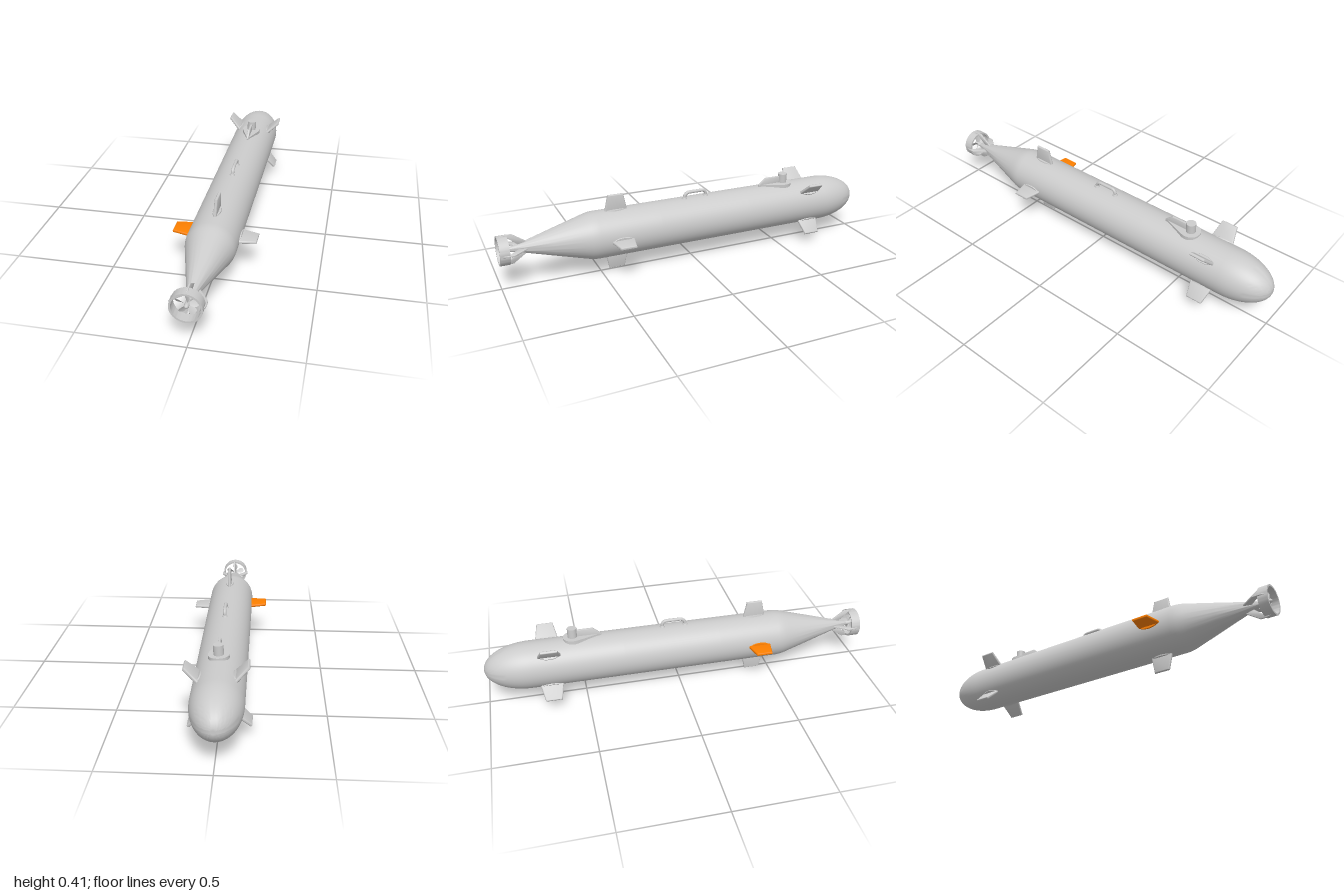
import * as THREE from 'three';
import { toCreasedNormals } from 'three/addons/utils/BufferGeometryUtils.js';

const AXIS_Y = 0.206, R = 0.121;
const grey = new THREE.MeshStandardMaterial({ color: 0xcccccc });
const orange = new THREE.MeshStandardMaterial({ color: 0xff8000 });
const thin = new THREE.MeshStandardMaterial({ color: 0xcccccc, side: THREE.DoubleSide });

function add(parent, name, geo, mat = grey) {
  const mesh = new THREE.Mesh(geo, mat);
  mesh.name = name;
  parent.add(mesh);
  return mesh;
}

// Plate drawn in the (z, radius) plane, with rounded edges, centred on x = 0
function plate(points, thickness, bevel) {
  const inner = thickness - 2 * bevel;
  const geo = new THREE.ExtrudeGeometry(new THREE.Shape(points.map(p => new THREE.Vector2(...p))), {
    depth: inner, bevelThickness: bevel, bevelSize: bevel, bevelOffset: -bevel, bevelSegments: 4,
  });
  geo.translate(0, 0, -inner / 2);
  geo.rotateY(-Math.PI / 2);
  return toCreasedNormals(geo, 0.6);
}

// Solid of revolution around the z axis from [radius, z] pairs
function turned(points, segments = 48) {
  const geo = new THREE.LatheGeometry(points.map(p => new THREE.Vector2(...p)), segments);
  geo.rotateX(Math.PI / 2);
  return geo;
}

// Tapered control fin with its foot, standing on the hull at an angle around z
function fin(parent, name, z, angle, mat) {
  const g = new THREE.Group();
  g.name = name;
  add(g, 'finBlade', plate([[-0.06, 0.11], [0.06, 0.11], [0.041, 0.203], [-0.041, 0.203]], 0.016, 0.0075), mat);
  const foot = add(g, 'finFoot', new THREE.CylinderGeometry(0.85, 1, 0.016, 32), mat);
  foot.scale.set(0.022, 1, 0.058);
  foot.position.y = 0.117;
  g.position.z = z;
  g.rotation.z = angle;
  parent.add(g);
}

export function createModel() {
  const model = new THREE.Group();
  model.name = 'underwaterVehicle';
  const craft = new THREE.Group();
  craft.name = 'craft';
  craft.position.y = AXIS_Y;
  craft.rotation.z = -0.05; // slight roll
  model.add(craft);

  // Hull: elliptical nose, straight middle, tapering tail
  const profile = [];
  for (let i = 0; i <= 20; i++) {
    const a = (i / 20) * Math.PI / 2;
    profile.push([R * Math.sin(a), -0.77 - 0.23 * Math.cos(a)]);
  }
  profile.push([R, -0.3], [R, 0.2], [R, 0.52], [0.1195, 0.54], [0.116, 0.56], [0.109, 0.585],
    [0.066, 0.74], [0.028, 0.875], [0.012, 0.945], [0, 0.945]);
  add(craft, 'hull', toCreasedNormals(turned(profile, 64), 0.7));

  // Four tail fins in a cross, four bow fins on the diagonals
  for (let i = 0; i < 4; i++) {
    const a = i * Math.PI / 2;
    fin(craft, 'tailFin', 0.41, a, i === 1 ? orange : grey);
    fin(craft, 'bowFin', -0.675, a + Math.PI / 4, grey);
  }

  // Lifting handle on the back
  const handlePath = new THREE.CurvePath();
  const V = (y, z) => new THREE.Vector3(0, y, z);
  handlePath.add(new THREE.LineCurve3(V(0.11, -0.084), V(0.135, -0.084)));
  handlePath.add(new THREE.QuadraticBezierCurve3(V(0.135, -0.084), V(0.153, -0.08), V(0.153, -0.06)));
  handlePath.add(new THREE.LineCurve3(V(0.153, -0.06), V(0.153, 0.005)));
  handlePath.add(new THREE.QuadraticBezierCurve3(V(0.153, 0.005), V(0.153, 0.025), V(0.138, 0.033)));
  handlePath.add(new THREE.LineCurve3(V(0.138, 0.033), V(0.11, 0.04)));
  add(craft, 'handle', new THREE.TubeGeometry(handlePath, 48, 0.0085, 12));
  for (const z of [-0.084, 0.036]) {
    const foot = add(craft, 'handleFoot', new THREE.CylinderGeometry(0.011, 0.016, 0.012, 20));
    foot.position.set(0, 0.122, z);
  }

  // Mast: teardrop base, round post and a thin fairing behind it
  const tear = new THREE.Shape();
  tear.moveTo(0, 0.4);
  tear.lineTo(-0.045, 0.52);
  tear.bezierCurveTo(-0.058, 0.565, -0.035, 0.595, 0, 0.595);
  tear.bezierCurveTo(0.035, 0.595, 0.058, 0.565, 0.045, 0.52);
  tear.closePath();
  const tearGeo = new THREE.ExtrudeGeometry(tear, { depth: 0.024, bevelEnabled: false, curveSegments: 16 });
  tearGeo.rotateX(-Math.PI / 2);
  add(craft, 'mastBase', toCreasedNormals(tearGeo, 0.6)).position.y = 0.106;
  const post = add(craft, 'mastPost', new THREE.CylinderGeometry(0.024, 0.024, 0.068, 32));
  post.position.set(0, 0.144, -0.547);
  add(craft, 'mastFairing', plate([[-0.54, 0.115], [-0.402, 0.115], [-0.402, 0.131], [-0.442, 0.165], [-0.54, 0.165]], 0.012, 0.003));

  // Propeller guard ring on four slanted struts
  add(craft, 'guardRing', toCreasedNormals(turned([[0.064, 0.952], [0.073, 0.952], [0.073, 1], [0.064, 1], [0.064, 0.952]], 64), 0.6));
  for (let i = 0; i < 4; i++) {
    const strut = add(craft, 'guardStrut', plate([[0.855, 0.025], [0.895, 0.012], [0.92, 0.035], [0.953, 0.064],
      [0.99, 0.066], [0.985, 0.073], [0.965, 0.079], [0.93, 0.079]], 0.008, 0.002));
    strut.rotation.z = i * Math.PI / 2;
  }

  // Propeller: hub and five pitched, rounded blades
  const propeller = new THREE.Group();
  propeller.name = 'propeller';
  craft.add(propeller);
  add(propeller, 'hub', turned([[0, 0.94], [0.011, 0.94], [0.011, 0.98], [0.009, 0.988], [0.005, 0.993], [0, 0.994]], 24));
  for (let i = 0; i < 5; i++) {
    const blade = new THREE.PlaneGeometry(1, 1, 8, 10);
    const pos = blade.attributes.position;
    for (let j = 0; j < pos.count; j++) {
      const t = pos.getY(j) + 0.5;
      const half = t < 0.65 ? 0.005 + 0.012 * Math.sin(t / 0.65 * Math.PI / 2)
        : 0.017 * Math.sqrt(Math.max(0, 1 - ((t - 0.65) / 0.35) ** 2));
      const u = pos.getX(j) * 2 * half, pitch = 0.95 - 0.45 * t;
      pos.setXYZ(j, u * Math.cos(pitch), 0.008 + 0.047 * t, u * Math.sin(pitch));
    }
    blade.computeVertexNormals();
    const mesh = add(propeller, 'propellerBlade', blade, thin);
    mesh.position.z = 0.968;
    mesh.rotation.z = 0.05 + i * Math.PI * 2 / 5;
  }
  return model;
}
